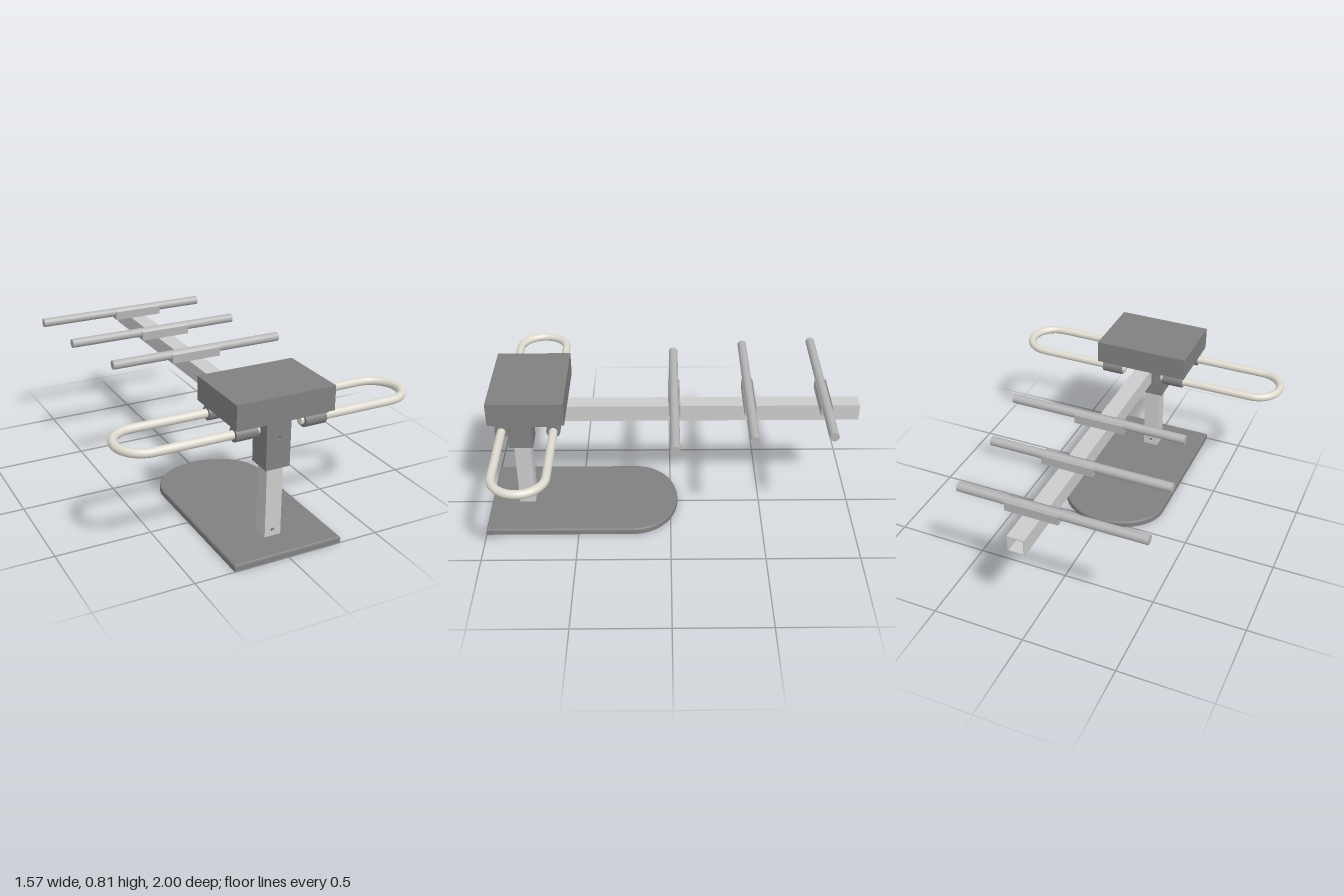
import * as THREE from 'three';

const mat = (color) => new THREE.MeshStandardMaterial({ color });

export function createModel() {
  const root = new THREE.Group();
  const dark = mat(0x808080), metal = mat(0xcccccc), rodMat = mat(0xb4b4b4), loopMat = mat(0xdedacf);

  const add = (name, geo, material, x = 0, y = 0, z = 0, parent = root) => {
    const m = new THREE.Mesh(geo, material);
    m.name = name;
    m.position.set(x, y, z);
    parent.add(m);
    return m;
  };
  // Box given by its min and max corners
  const block = (name, [x0, y0, z0], [x1, y1, z1], material) =>
    add(name, new THREE.BoxGeometry(x1 - x0, y1 - y0, z1 - z0), material, (x0 + x1) / 2, (y0 + y1) / 2, (z0 + z1) / 2);
  const rect = (x0, y0, x1, y1) => new THREE.Shape([[x0, y0], [x1, y0], [x1, y1], [x0, y1]].map((p) => new THREE.Vector2(...p)));
  const drill = (shape, x, y, r) => shape.holes.push(new THREE.Path().absarc(x, y, r, 0, Math.PI * 2, true));

  // Hollow square tube along z from 0 to length, bolt holes in its top and bottom walls
  const squareTube = (name, length, half, topHoles, bottomHoles) => {
    const g = new THREE.Group(), t = 0.007;
    g.name = name;
    const wall = (holes, y) => {
      const s = rect(-half, 0, half, length);
      holes.forEach((z) => drill(s, 0, z, 0.011));
      const geo = new THREE.ExtrudeGeometry(s, { depth: t, bevelEnabled: false, curveSegments: 10 });
      add(name + 'Wall', geo.rotateX(Math.PI / 2), metal, 0, y, 0, g);
    };
    wall(topHoles, half);
    wall(bottomHoles, -half + t);
    for (const s of [-1, 1])
      add(name + 'Side', new THREE.BoxGeometry(t, 2 * (half - t), length), metal, s * (half - t / 2), 0, length / 2, g);
    root.add(g);
    return g;
  };

  // Base plate: straight front, rounded back, bevelled top edge, square socket
  const plate = new THREE.Shape();
  plate.moveTo(-0.293, 1);
  plate.lineTo(-0.293, 0.2);
  plate.absellipse(0, 0.2, 0.293, 0.24, Math.PI, Math.PI * 2, false);
  plate.lineTo(0.293, 1);
  plate.closePath();
  plate.holes.push(rect(-0.03, 0.77, 0.03, 0.83));
  const baseGeo = new THREE.ExtrudeGeometry(plate, {
    depth: 0.023, bevelThickness: 0.01, bevelSize: 0.008, bevelOffset: -0.008, bevelSegments: 2, curveSegments: 32,
  }).rotateX(Math.PI / 2).translate(0, 0.024, 0);
  const p = baseGeo.attributes.position;
  for (let i = 0; i < p.count; i++) p.setY(i, Math.max(0, p.getY(i))); // flat underside
  baseGeo.computeVertexNormals();
  add('base', baseGeo, dark);

  // Upright post
  const post = squareTube('post', 0.42, 0.044, [0.034], [0.034]);
  post.rotation.x = -Math.PI / 2;
  post.position.set(0, 0.033, 0.8);

  // Boom with a bolt hole under each cross rod
  const rodZ = [-0.02, -0.415, -0.81];
  const boom = squareTube('boom', 1.72, 0.045, [], rodZ.map((z) => z + 1));
  boom.position.set(0, 0.62, -1);

  // Bracket joining post and boom
  const face = rect(-0.065, 0.415, 0.065, 0.68);
  drill(face, 0, 0.575, 0.011);
  add('bracket', new THREE.ExtrudeGeometry(face, { depth: 0.13, bevelEnabled: false }), dark, 0, 0, 0.74);
  block('bracketArmFloor', [-0.065, 0.55, 0.61], [0.065, 0.575, 0.74], dark);
  block('bracketArmTop', [-0.065, 0.665, 0.61], [0.065, 0.68, 0.74], dark);
  for (const s of [-1, 1])
    add('bracketArmSide', new THREE.BoxGeometry(0.02, 0.13, 0.13), dark, s * 0.055, 0.615, 0.675);

  // Housing with a stepped bottom cover
  block('housing', [-0.26, 0.69, 0.54], [0.26, 0.815, 0.932], dark);
  block('housingCover', [-0.24, 0.674, 0.562], [0.24, 0.69, 0.91], dark);

  // Side loops and the sleeves that hold them
  const zBack = 0.6, zFront = 0.865, zMid = (zBack + zFront) / 2, r = (zFront - zBack) / 2;
  for (const s of [-1, 1]) {
    const path = new THREE.CurvePath(), at = (x, z) => new THREE.Vector3(s * x, 0.641, z);
    const arc = [];
    for (let i = 0; i <= 16; i++) {
      const a = -Math.PI / 2 + (Math.PI * i) / 16;
      arc.push(at(0.632 + r * Math.cos(a), zMid + r * Math.sin(a)));
    }
    path.add(new THREE.LineCurve3(at(0.11, zBack), arc[0]));
    path.add(new THREE.CatmullRomCurve3(arc));
    path.add(new THREE.LineCurve3(arc[16], at(0.11, zFront)));
    add('sideLoop', new THREE.TubeGeometry(path, 100, 0.022, 16), loopMat);
    for (const z of [zBack, zFront]) {
      const cap = add('loopEnd', new THREE.CircleGeometry(0.022, 16), loopMat, s * 0.11, 0.641, z);
      cap.rotation.y = -s * Math.PI / 2;
      const sleeve = new THREE.CylinderGeometry(0.036, 0.036, 0.115, 24).rotateZ(Math.PI / 2);
      add('loopSleeve', sleeve, dark, s * 0.184, 0.641, z);
    }
  }

  // Grooved cradle profile that seats a cross rod
  const cradle = new THREE.Shape();
  cradle.moveTo(-0.031, 0);
  cradle.lineTo(0.031, 0);
  cradle.lineTo(0.031, 0.048);
  cradle.lineTo(0.025, 0.056);
  cradle.lineTo(0.025, 0.04);
  cradle.absarc(0, 0.04, 0.025, 0, -Math.PI, true);
  cradle.lineTo(-0.025, 0.056);
  cradle.lineTo(-0.031, 0.048);
  cradle.closePath();
  const cradleGeo = new THREE.ExtrudeGeometry(cradle, { depth: 0.28, bevelEnabled: false, curveSegments: 12 })
    .translate(0, 0, -0.14).rotateY(Math.PI / 2);

  // Cross rods, each offset a little further sideways
  const rodX = [0.02, -0.058, -0.09];
  rodZ.forEach((z, i) => {
    const rod = new THREE.CylinderGeometry(0.0245, 0.0245, 0.98, 20).rotateZ(Math.PI / 2);
    add('crossRod', rod, rodMat, rodX[i], 0.705, z);
    add('rodCradle', cradleGeo, rodMat, 0, 0.665, z);
  });

  return root;
}
